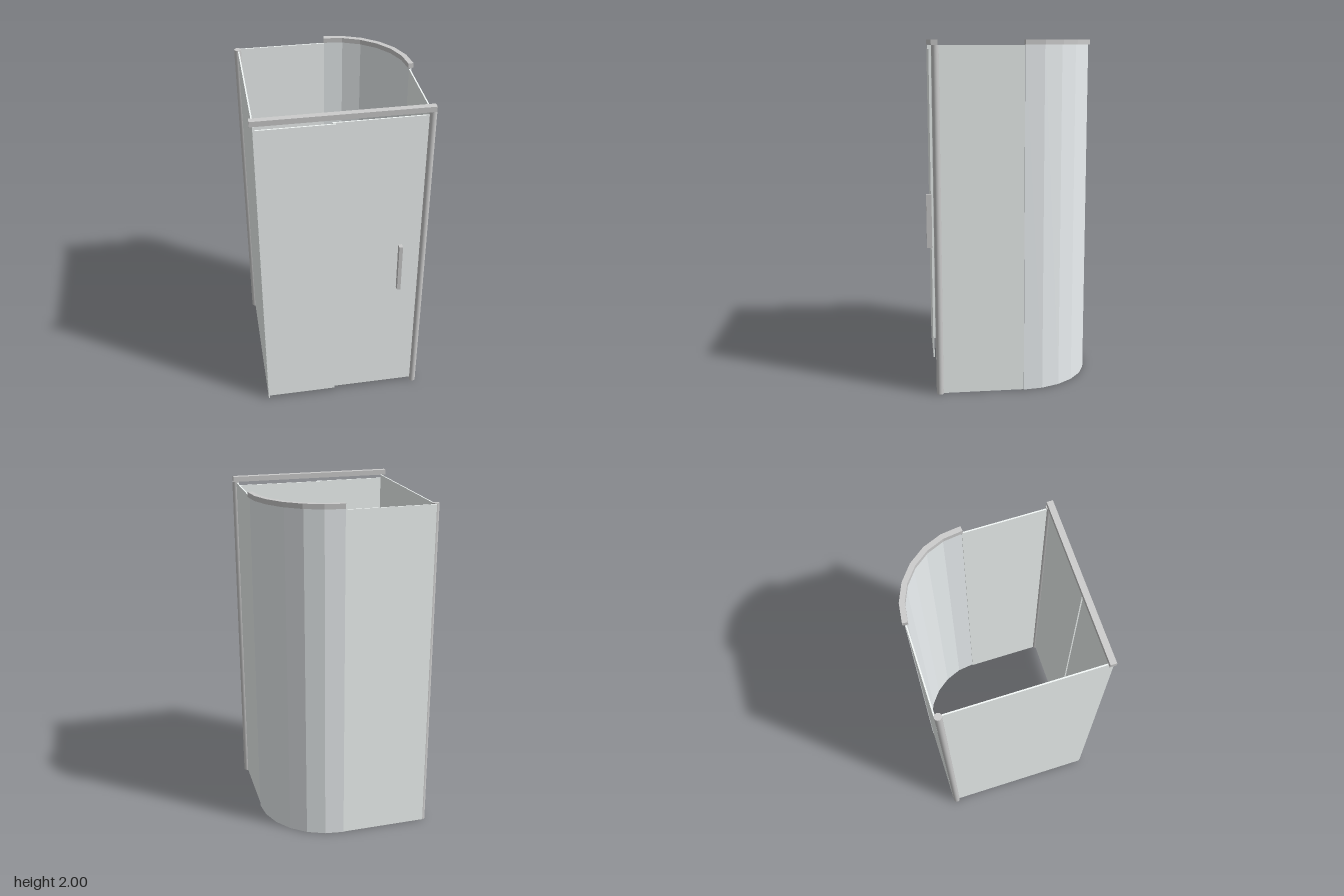
import * as THREE from 'three';

const GLASS_TOP = 1.965, RAIL_Y = 1.972, RAIL_H = 0.028, GLASS = 0.008;

export function createModel() {
  const group = new THREE.Group();
  group.name = 'showerEnclosure';
  const glass = new THREE.MeshStandardMaterial({ color: 0xf3f8f7 });
  const curvedGlass = new THREE.MeshStandardMaterial({ color: 0xedf2f4 });
  const metal = new THREE.MeshStandardMaterial({ color: 0xebecee });

  function add(name, geometry, material) {
    const mesh = new THREE.Mesh(geometry, material);
    mesh.name = name;
    group.add(mesh);
  }

  // Box given by its extents on each axis
  function slab(name, material, [x0, x1], [y0, y1], [z0, z1]) {
    const g = new THREE.BoxGeometry(x1 - x0, y1 - y0, z1 - z0);
    g.translate((x0 + x1) / 2, (y0 + y1) / 2, (z0 + z1) / 2);
    add(name, g, material);
  }

  // Faceted quarter ring round the back corner, in six straight segments
  function cornerBand(name, material, thickness, y, height) {
    const cx = 0.043, cy = 0.053, r = 0.423, n = 6, step = Math.PI / 2 / n;
    const side = (offset) => {
      const points = [];
      for (let i = 0; i <= n; i++) {
        const a = i * step;
        // End cuts are square to the end segments, inner joints are mitred
        const isEnd = i === 0 || i === n;
        const dir = i === 0 ? step / 2 : i === n ? a - step / 2 : a;
        const d = isEnd ? offset : offset / Math.cos(step / 2);
        points.push(new THREE.Vector2(
          cx + r * Math.cos(a) + d * Math.cos(dir),
          cy + r * Math.sin(a) + d * Math.sin(dir)));
      }
      return points;
    };
    const outline = [...side(thickness / 2), ...side(-thickness / 2).reverse()];
    const g = new THREE.ExtrudeGeometry(new THREE.Shape(outline), { depth: height, bevelEnabled: false });
    g.rotateX(-Math.PI / 2);
    g.translate(0, y, 0);
    add(name, g, material);
  }

  // Round corner post
  function post(name, x, z) {
    const height = GLASS_TOP + 0.005;
    const g = new THREE.CylinderGeometry(0.02, 0.02, height, 24);
    g.translate(x, height / 2, z);
    add(name, g, metal);
  }

  // Fixed glass walls
  const full = [0, GLASS_TOP];
  slab('backPanel', glass, [-0.465, 0.043], full, [-0.477, -0.477 + GLASS]);
  slab('rightSidePanel', glass, [-0.466, -0.458], full, [-0.45, 0.448]);
  slab('leftSidePanel', glass, [0.456, 0.464], full, [-0.055, 0.425]);

  // Curved back corner with its cap rail
  cornerBand('curvedPanel', curvedGlass, GLASS, 0, RAIL_Y);
  cornerBand('curvedRail', metal, 0.03, RAIL_Y, RAIL_H);

  // Corner posts
  post('backPost', -0.466, -0.457);
  post('frontPost', 0.466, 0.432);

  // Front: fixed pane outside, sliding door inside, gaps above and below
  const front = [0.026, 1.946];
  slab('frontFixedPanel', glass, [-0.465, -0.044], front, [0.444, 0.452]);
  slab('slidingDoor', glass, [-0.06, 0.447], front, [0.429, 0.437]);
  slab('frontRail', metal, [-0.482, 0.48], [1.97, 2], [0.419, 0.454]);

  // Door handle
  slab('handle', metal, [0.315, 0.336], [0.83, 1.14], [0.46, 0.49]);

  return group;
}
